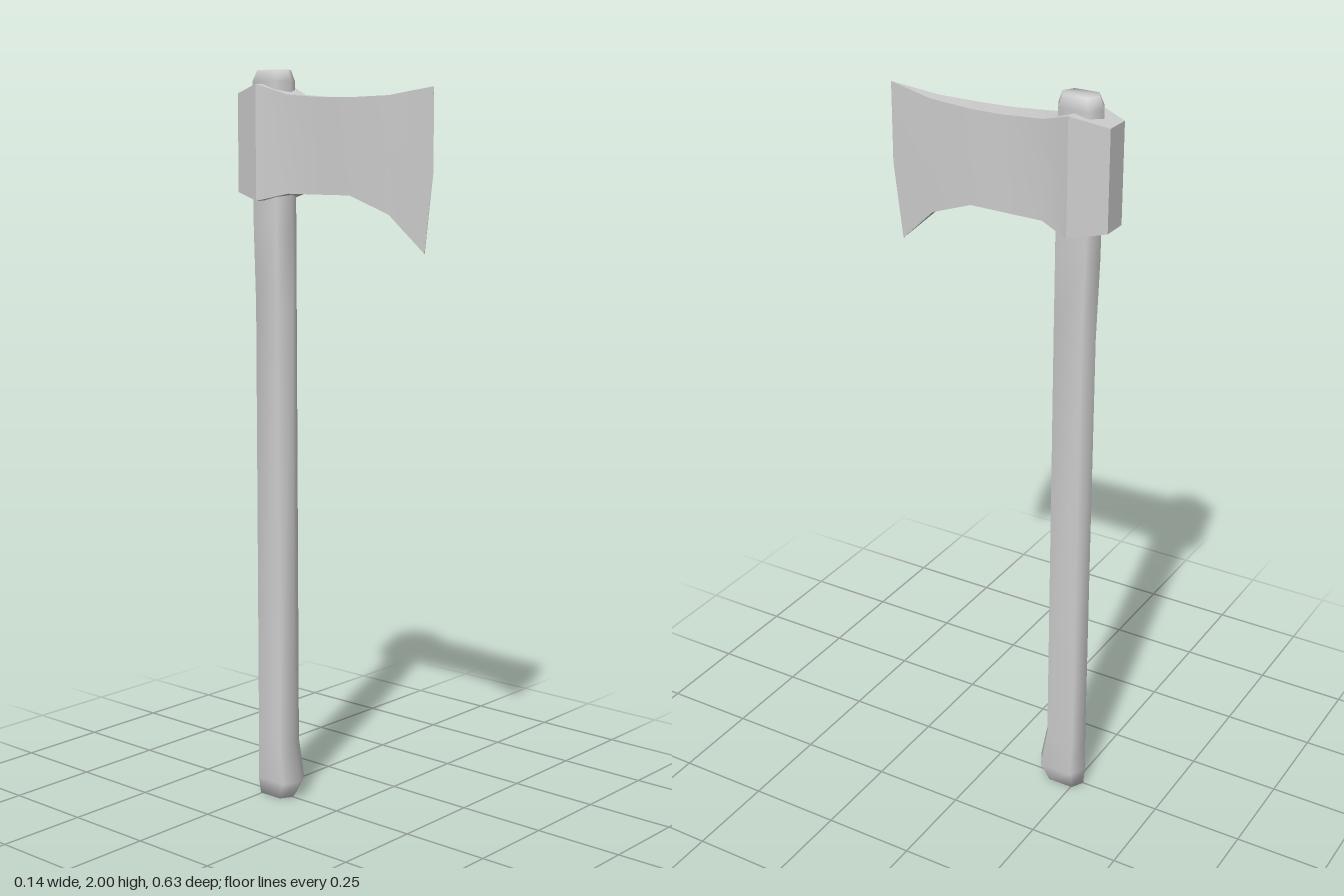
import * as THREE from 'three';
import { toCreasedNormals } from 'three/addons/utils/BufferGeometryUtils.js';

// Skin a list of equal rings (counter-clockwise about the loft axis) and cap both ends.
function loft(rings) {
  const n = rings[0].length, last = (rings.length - 1) * n, index = [];
  for (let i = 0; i < rings.length - 1; i++) {
    for (let j = 0; j < n; j++) {
      const a = i * n + j, b = i * n + (j + 1) % n;
      index.push(a, b, b + n, a, b + n, a + n);
    }
  }
  for (let j = 1; j < n - 1; j++) {
    index.push(0, j + 1, j, last, last + j, last + j + 1);
  }
  const geometry = new THREE.BufferGeometry();
  geometry.setAttribute('position', new THREE.Float32BufferAttribute(rings.flat(2), 3));
  geometry.setIndex(index);
  geometry.computeVertexNormals();
  return geometry;
}

// Six-sided handle section, pointed at the front and back.
function handleRing([y, w, back, front]) {
  const mid = (back + front) / 2, s = (front - back) * 0.33;
  return [
    [0, y, front], [w, y, mid + s], [w, y, mid - s],
    [0, y, back], [-w, y, mid - s], [-w, y, mid + s],
  ];
}

// Head section: a thin upright slab with a middle row so the edge can curve.
function headRing([z, w, bottom, top, mid = (bottom + top) / 2, zBottom = z]) {
  return [
    [w, bottom, zBottom], [w, mid, z], [w, top, z],
    [-w, top, z], [-w, mid, z], [-w, bottom, zBottom],
  ];
}

export function createModel() {
  const model = new THREE.Group();
  model.name = 'axe';
  const material = new THREE.MeshStandardMaterial({ color: 0xcccccc });
  const add = (name, geometry) => {
    const mesh = new THREE.Mesh(geometry, material);
    mesh.name = name;
    model.add(mesh);
  };

  // Handle: height, half width, back z, front z
  add('handle', loft([
    [0, 0.034, -0.272, -0.162],
    [0.05, 0.044, -0.276, -0.135],
    [0.16, 0.04, -0.274, -0.155],
    [1.38, 0.038, -0.274, -0.155],
    [1.6, 0.039, -0.281, -0.155],
    [1.97, 0.039, -0.281, -0.158],
    [2, 0.03, -0.268, -0.168],
  ].map(handleRing)));

  // Head, from the poll through the eye to the cutting edge:
  // z, half width, bottom, top, [middle height, z of the lower tip]
  add('axeHead', toCreasedNormals(loft([
    [-0.317, 0.036, 1.68, 1.94],
    [-0.222, 0.068, 1.66, 1.963],
    [-0.137, 0.036, 1.68, 1.935],
    [-0.02, 0.033, 1.68, 1.927],
    [0.07, 0.03, 1.68, 1.926],
    [0.19, 0.019, 1.635, 1.93],
    [0.317, 0.0008, 1.54, 1.95, 1.74, 0.292],
  ].map(headRing)), 0.45));

  return model;
}
